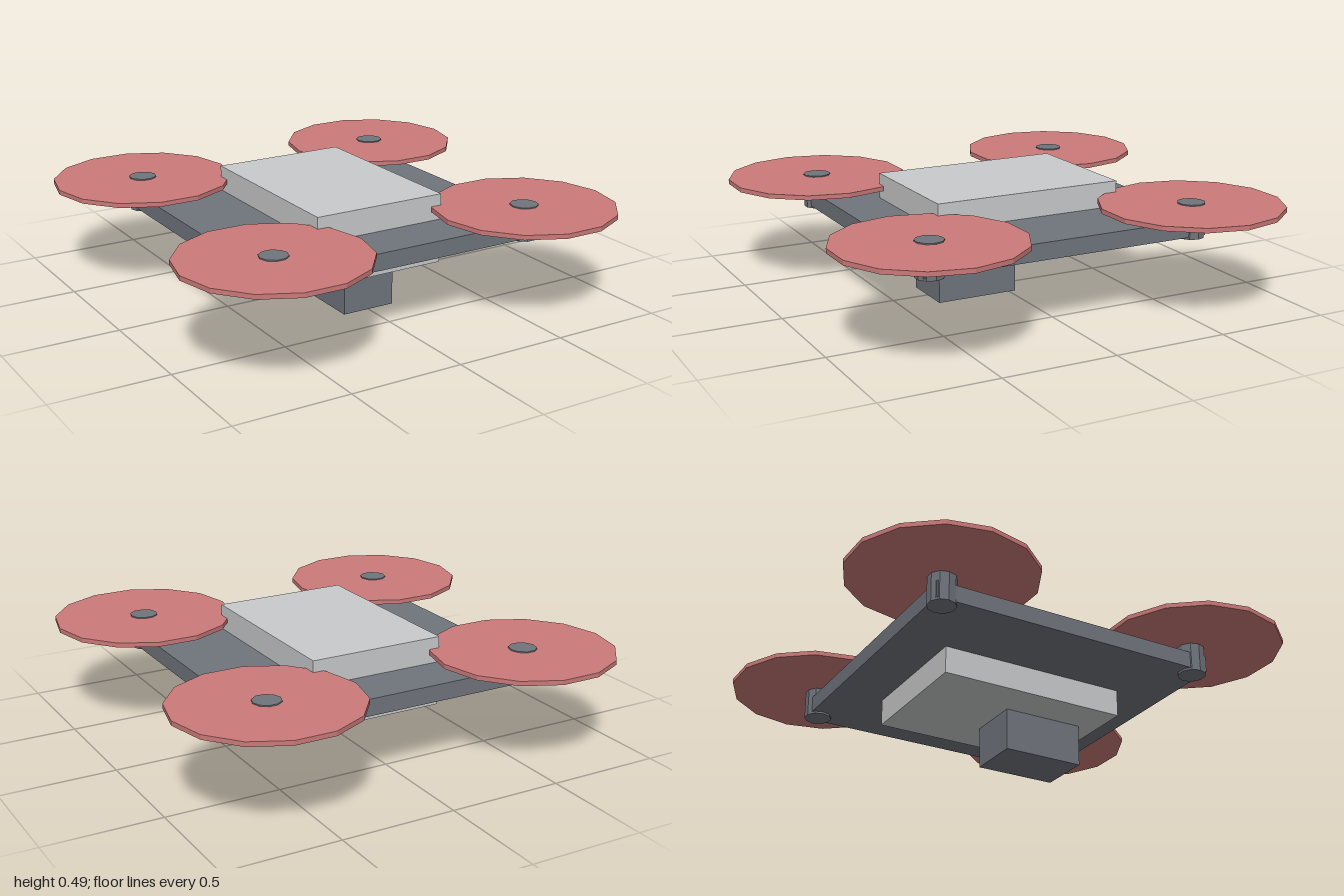
import * as THREE from 'three';

export function createModel() {
  const model = new THREE.Group();
  const material = (name, color) => {
    const m = new THREE.MeshStandardMaterial({ color, flatShading: true });
    m.name = name;
    return m;
  };
  const darkGrey = material('dark grey', 0x70757d);
  const lightGrey = material('light grey', 0xc9cacb);
  const rotorRed = material('rotor red', 0xcb7979);

  const add = (name, geometry, mat, x, y, z, parent = model) => {
    const mesh = new THREE.Mesh(geometry, mat);
    mesh.name = name;
    mesh.position.set(x, y, z);
    parent.add(mesh);
    return mesh;
  };

  // Square frame, central body and the slung camera
  add('frame', new THREE.BoxGeometry(1.3, 0.073, 1.3), darkGrey, 0, 0.341, 0);
  add('body', new THREE.BoxGeometry(0.605, 0.305, 0.85), lightGrey, 0, 0.3375, 0);
  add('camera', new THREE.BoxGeometry(0.242, 0.186, 0.366), darkGrey, 0, 0.093, 0.155);

  // Motor and rotor disc at each corner, with a corner pointing along x
  const motorShape = new THREE.CylinderGeometry(0.0605, 0.0605, 0.15, 10).rotateY(Math.PI / 2);
  const discShape = new THREE.CylinderGeometry(0.395, 0.395, 0.02, 14).rotateY(Math.PI / 2);
  for (const [side, sx] of [['left', 1], ['right', -1]]) {
    for (const [end, sz] of [['Front', 1], ['Back', -1]]) {
      const unit = new THREE.Group();
      unit.name = `${side}${end}Rotor`;
      unit.position.set(sx * 0.605, 0, sz * 0.605);
      add('motor', motorShape, darkGrey, 0, 0.37, 0, unit);
      add('rotorDisc', discShape, rotorRed, 0, 0.43, 0, unit);
      model.add(unit);
    }
  }
  return model;
}
